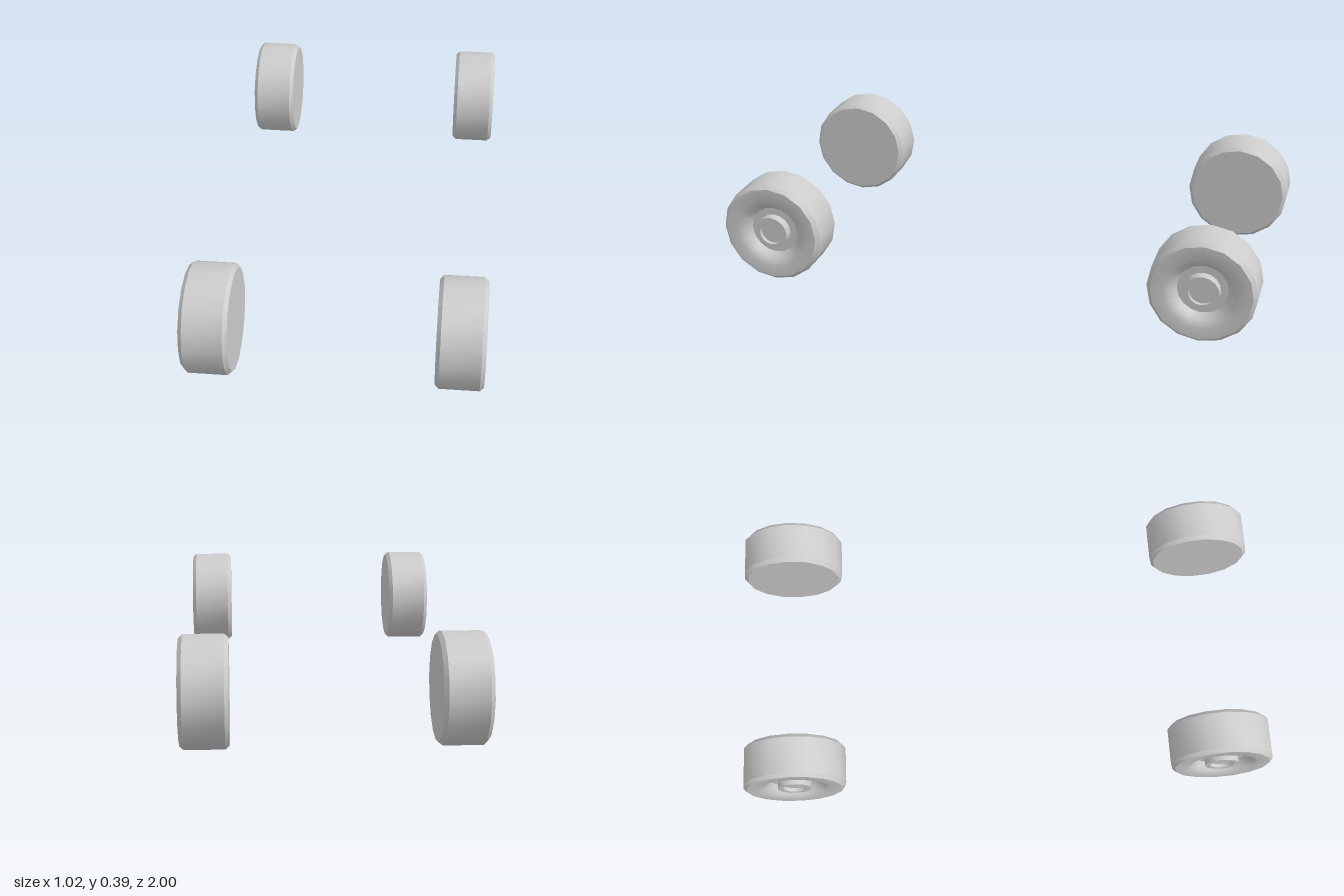
import * as THREE from 'three';
import { toCreasedNormals } from 'three/addons/utils/BufferGeometryUtils.js';

const RADIUS = 0.193, HALF = 0.0825, SIDES = 16;

// Turn a [radius, height] profile around the axle; +x is the outer side.
function turned(profile) {
  const points = profile.map(([r, h]) => new THREE.Vector2(r, h));
  const geometry = new THREE.LatheGeometry(points, SIDES);
  geometry.rotateZ(-Math.PI / 2);
  return toCreasedNormals(geometry, 0.62);
}

export function createModel() {
  const model = new THREE.Group();
  model.name = 'wheelSet';
  const material = new THREE.MeshStandardMaterial({ color: 0xcccccc });

  // Tyre: flat inner side, bevelled tread, outer side sinking into a dish
  const tyre = turned([
    [0, -HALF], [0.18, -HALF], [RADIUS, -HALF + 0.014],
    [RADIUS, HALF - 0.014], [0.18, HALF], [0.137, HALF],
    [0.12, HALF - 0.006], [0.105, HALF - 0.018], [0.091, HALF - 0.036],
    [0, HALF - 0.036],
  ]);

  // Hub: short boss with a shallow bore in its end
  const hub = turned([
    [0.064, HALF - 0.037], [0.064, HALF - 0.003], [0.045, HALF - 0.003],
    [0.045, HALF - 0.017], [0, HALF - 0.017],
  ]);

  for (const side of [1, -1]) {
    for (const end of [1, -1]) {
      const wheel = new THREE.Group();
      wheel.name = (end > 0 ? 'front' : 'rear') + (side > 0 ? 'Left' : 'Right') + 'Wheel';
      const parts = { tyre, hub };
      for (const name in parts) {
        const mesh = new THREE.Mesh(parts[name], material);
        mesh.name = name;
        wheel.add(mesh);
      }
      wheel.position.set(side * 0.4275, RADIUS, end * (1 - RADIUS));
      if (side < 0) wheel.rotation.y = Math.PI;
      model.add(wheel);
    }
  }
  return model;
}
